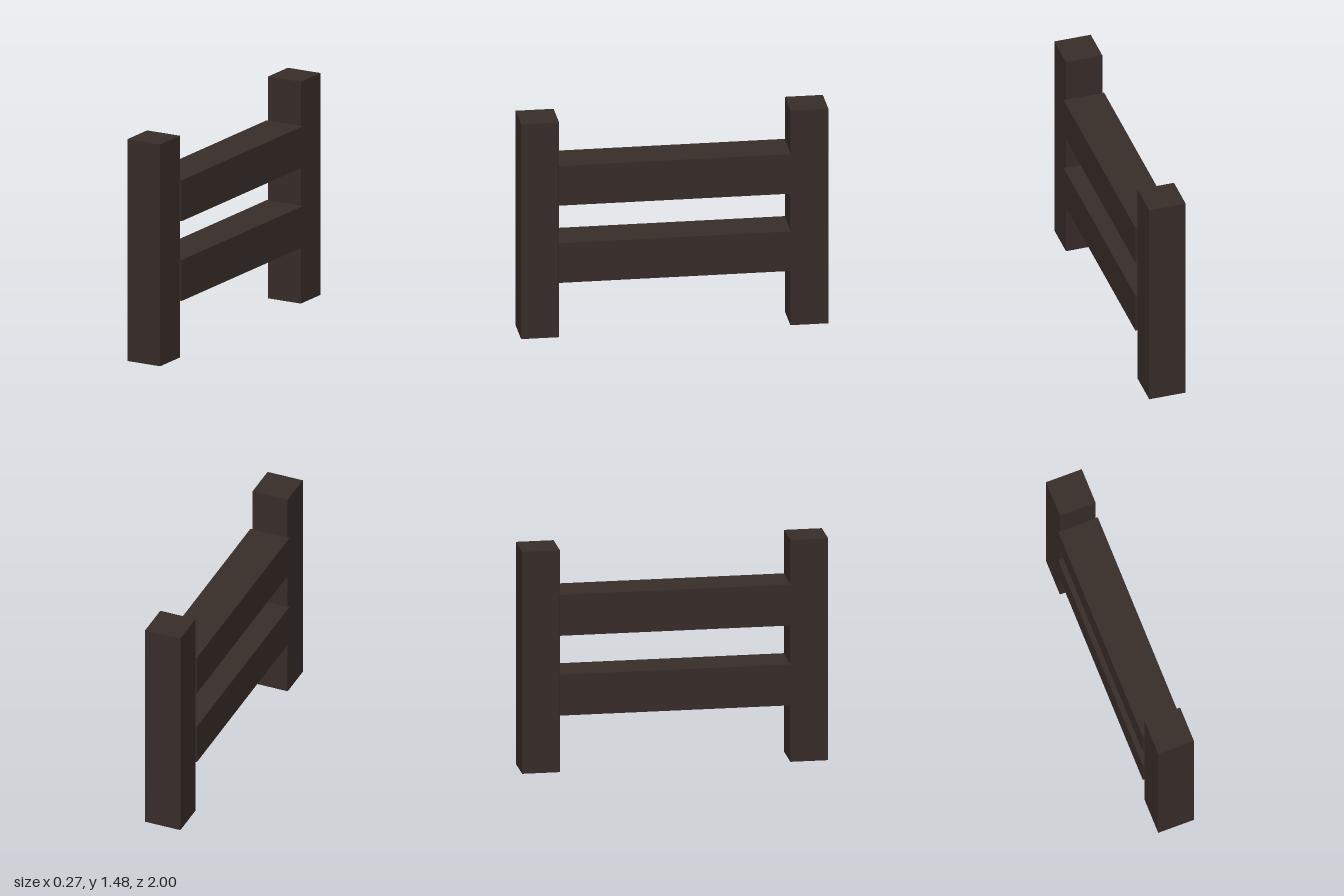
import * as THREE from 'three';

export function createModel() {
  const group = new THREE.Group();
  const wood = new THREE.MeshStandardMaterial({ color: 0x382d29 });

  const addBeam = (name, [w, h, d], [x, y, z]) => {
    const beam = new THREE.Mesh(new THREE.BoxGeometry(w, h, d), wood);
    beam.name = name;
    beam.position.set(x, y, z);
    group.add(beam);
  };

  // Square posts at the two ends
  const postHeight = 1.484, postSize = 0.247;
  for (const side of [1, -1]) {
    addBeam(side > 0 ? 'frontPost' : 'backPost',
      [postSize, postHeight, postSize],
      [-0.002, postHeight / 2, side * (1 - postSize / 2)]);
  }

  // Two rails, slightly wider than the posts and just entering them
  addBeam('lowerRail', [0.274, 0.274, 1.512], [0, 0.518, 0]);
  addBeam('upperRail', [0.274, 0.274, 1.512], [0, 1.052, 0]);

  return group;
}
